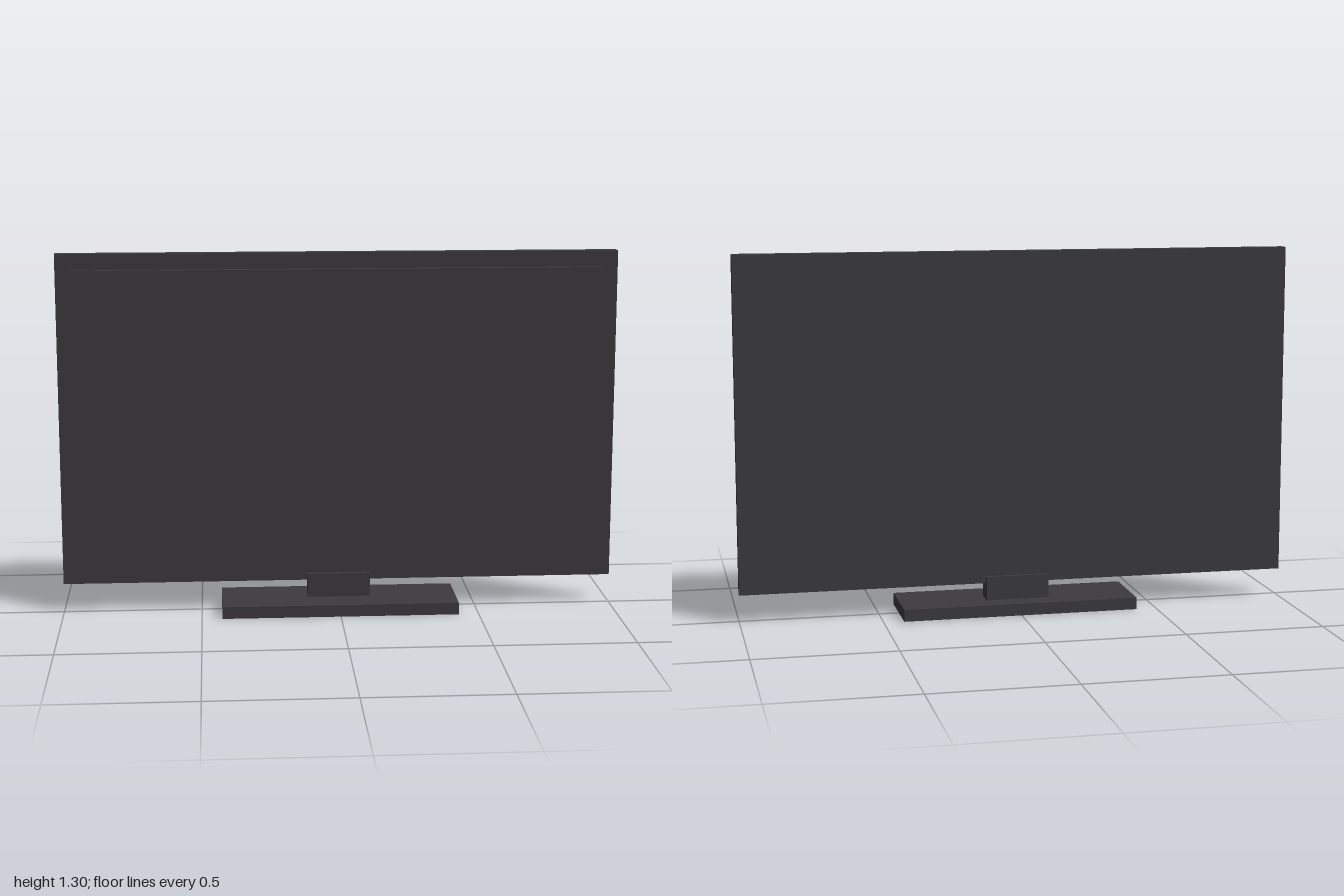
import * as THREE from 'three';

export function createModel() {
  const model = new THREE.Group();
  model.name = 'flatScreenDisplay';

  const charcoal = new THREE.MeshStandardMaterial({ color: 0x3d3b40 });
  charcoal.name = 'charcoal plastic';

  // Box centred on x, given its width and its y and z ranges
  function slab(name, width, [y0, y1], [z0, z1]) {
    const mesh = new THREE.Mesh(new THREE.BoxGeometry(width, y1 - y0, z1 - z0), charcoal);
    mesh.position.set(0, (y0 + y1) / 2, (z0 + z1) / 2);
    mesh.name = name;
    model.add(mesh);
  }

  // Stand: wide foot and a short neck gripping the lower edge of the housing
  slab('standBase', 0.854, [0, 0.043], [-0.128, 0.128]);
  slab('standNeck', 0.228, [0.043, 0.13], [-0.055, 0.014]);

  // Thin housing with the raised screen panel on its front
  slab('housing', 2, [0.104, 1.302], [-0.042, 0]);
  slab('screenPanel', 1.888, [0.163, 1.245], [0, 0.021]);

  return model;
}
